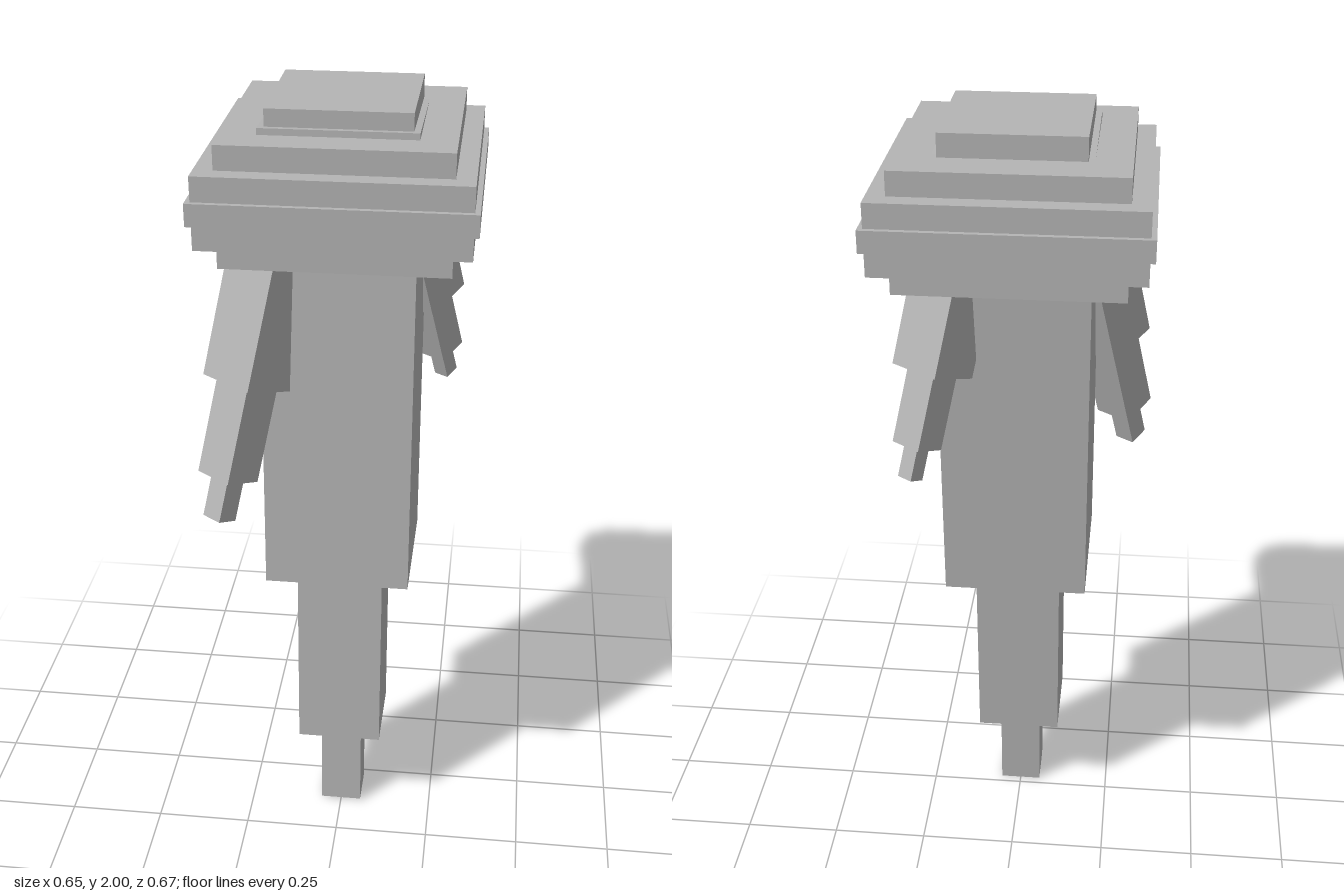
import * as THREE from 'three';

export function createModel() {
  const model = new THREE.Group();
  const stone = new THREE.MeshStandardMaterial({ color: 0xb4b4b4, flatShading: true });
  stone.name = 'grey stone';

  // Square block spanning bottom to top
  function block(parent, name, width, bottom, top, z = 0) {
    const mesh = new THREE.Mesh(new THREE.BoxGeometry(width, top - bottom, width), stone);
    mesh.name = name;
    mesh.position.set(0, (bottom + top) / 2, z);
    parent.add(mesh);
  }

  // Leaning spike of three shrinking blocks; y = 0 is the foot of the thickest block
  function spike(name, position, yaw, tilt, widths, lengths) {
    const group = new THREE.Group();
    group.name = name;
    group.position.set(...position);
    group.rotation.set(tilt, yaw, 0, 'YXZ');
    let top = lengths[0];
    ['Base', 'Middle', 'Tip'].forEach((part, i) => {
      block(group, name + part, widths[i], top - lengths[i], top);
      top -= lengths[i];
    });
    model.add(group);
  }

  // Stepped cap of square slabs: [width, bottom, top]
  [
    [0.53, 1.66, 1.718],
    [0.62, 1.718, 1.777],
    [0.644, 1.777, 1.83],
    [0.62, 1.83, 1.888],
    [0.53, 1.888, 1.945],
    [0.333, 1.945, 2.0],
  ].forEach(([w, b, t], i) => block(model, 'capSlab' + (i + 1), w, b, t, -0.0135));

  // Long central spike, then one shorter spike on each of two opposite corners
  spike('centralSpike', [0, 0.793, 0.04], 0, -0.046, [0.362, 0.22, 0.11], [1.16, 0.533, 0.255]);
  spike('frontSpike', [-0.214, 1.355, 0.207], -0.63, -0.323, [0.15, 0.103, 0.056], [0.4, 0.237, 0.108]);
  spike('backSpike', [0.188, 1.436, -0.198], 2.53, -0.34, [0.135, 0.083, 0.042], [0.32, 0.185, 0.082]);

  return model;
}
